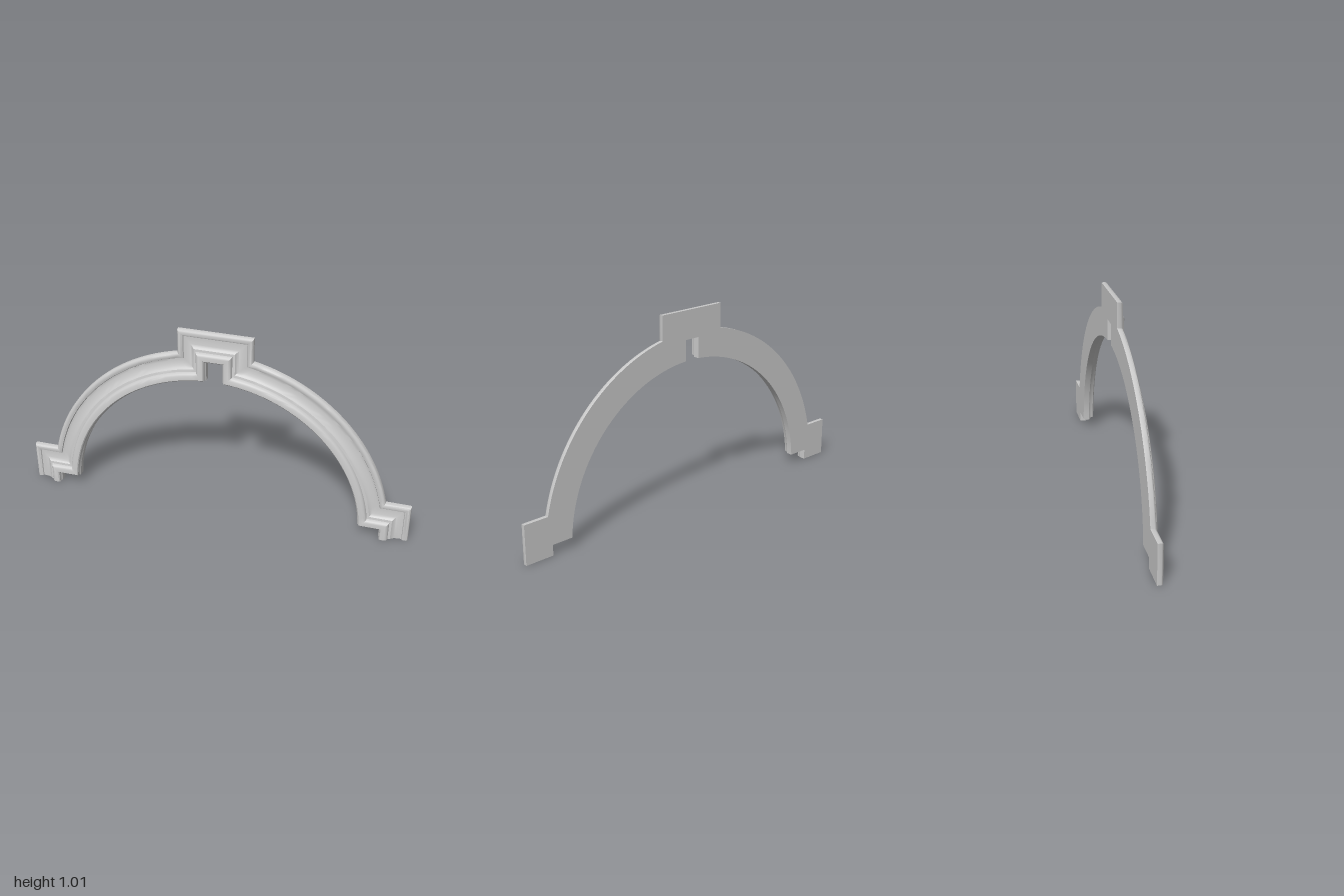
import * as THREE from 'three';
import { toCreasedNormals } from 'three/addons/utils/BufferGeometryUtils.js';

// Moulding section: [inset from the outer edge, z], from outer back to inner back
const PROFILE = [
  [0, -0.029], [0, -0.01], [0.003, -0.004], [0.009, 0], [0.022, 0], [0.028, -0.003], [0.031, -0.009],
  [0.043, -0.009], [0.056, -0.007], [0.068, -0.004], [0.078, 0.001], [0.085, 0.008],
  [0.097, 0.01], [0.099, 0.018], [0.104, 0.025], [0.112, 0.029],
  [0.134, 0.029], [0.139, 0.024], [0.141, 0.008], [0.146, 0.002], [0.146, -0.029],
];
const ARC_STEPS = 32;

// The arch outline, moved inward by d: foot block, arc, raised keystone block, mirrored
function outline(d) {
  const cy = 0.01, r = 0.893 - d;
  const foot = 1 - d, shoulder = 0.2 - d, key = 0.187 - d, top = 1.008 - d;
  const a0 = Math.asin((shoulder - cy) / r), a1 = Math.acos(key / r);
  const half = [[foot, 0], [foot, shoulder]];
  for (let i = 0; i <= ARC_STEPS; i++) {
    const a = a0 + (a1 - a0) * i / ARC_STEPS;
    half.push([r * Math.cos(a), cy + r * Math.sin(a)]);
  }
  half.push([key, top]);
  return half.concat(half.map(([x, y]) => [-x, y]).reverse());
}

function mouldingGeometry() {
  const rails = PROFILE.map(([d, z]) => outline(d).map(([x, y]) => [x, y, z]));
  const n = rails.length, last = rails[0].length - 1;
  const positions = [];
  const tri = (a, b, c) => positions.push(...a, ...b, ...c);

  // Swept faces; the last strip closes the flat back
  for (let j = 0; j < n; j++) {
    const p = rails[j], q = rails[(j + 1) % n];
    for (let i = 0; i < last; i++) {
      tri(p[i], p[i + 1], q[i + 1]);
      tri(p[i], q[i + 1], q[i]);
    }
  }

  // Flat ends under both feet
  const section = PROFILE.map(([d, z]) => new THREE.Vector2(d, z));
  for (const [a, b, c] of THREE.ShapeUtils.triangulateShape(section, [])) {
    const ccw = THREE.ShapeUtils.area([section[a], section[b], section[c]]) > 0;
    const [s, t] = ccw ? [b, c] : [c, b];
    tri(rails[a][0], rails[t][0], rails[s][0]);
    tri(rails[a][last], rails[s][last], rails[t][last]);
  }

  const geometry = new THREE.BufferGeometry();
  geometry.setAttribute('position', new THREE.Float32BufferAttribute(positions, 3));
  return toCreasedNormals(geometry, 0.6);
}

export function createModel() {
  const group = new THREE.Group();
  group.name = 'archSurround';
  const arch = new THREE.Mesh(mouldingGeometry(), new THREE.MeshStandardMaterial({ color: 0xcccccc }));
  arch.name = 'archMoulding';
  group.add(arch);
  return group;
}
